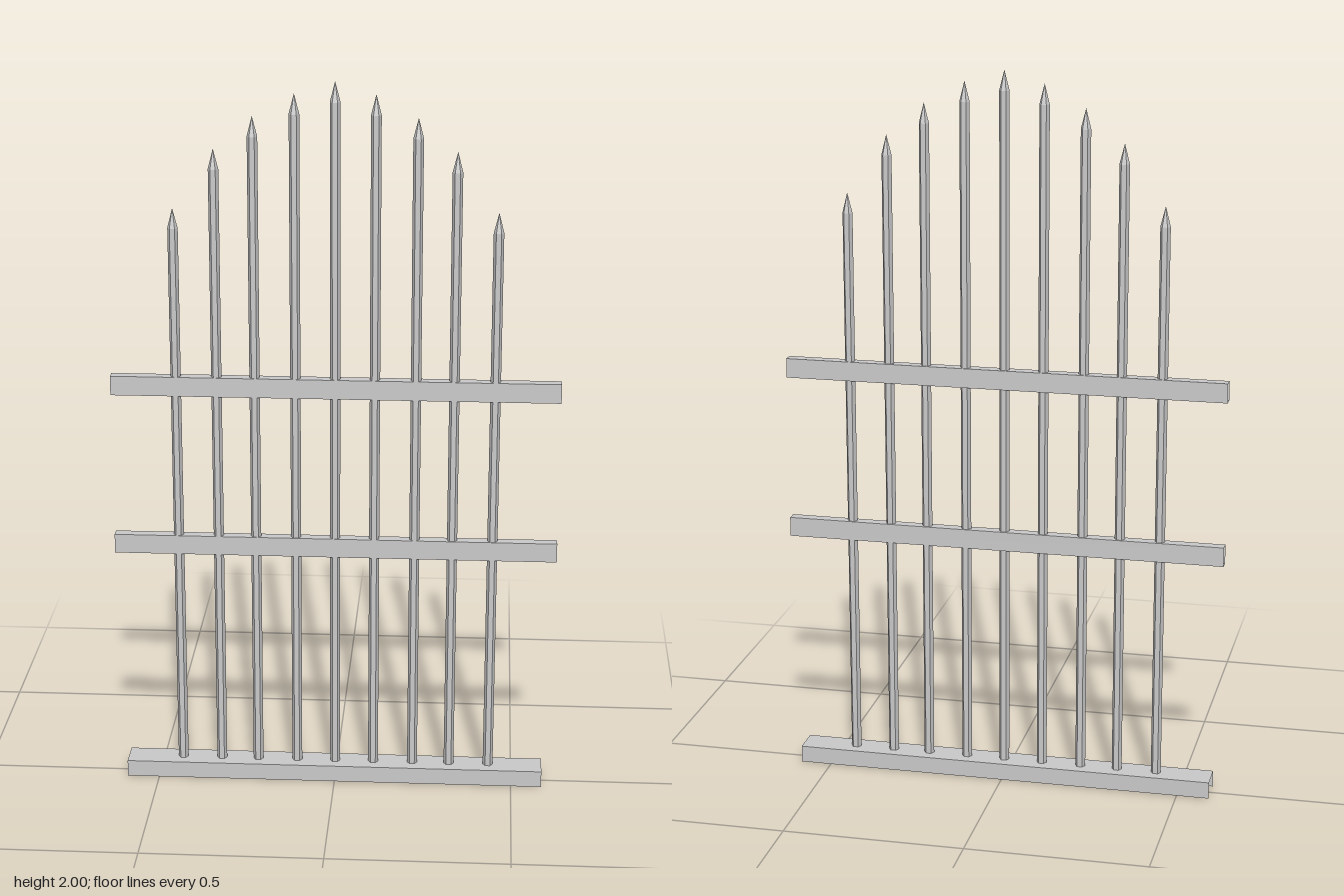
import * as THREE from 'three';

const metal = new THREE.MeshStandardMaterial({ color: 0xcccccc, flatShading: true });
const sheet = new THREE.MeshStandardMaterial({ color: 0xcccccc, flatShading: true, side: THREE.DoubleSide });

// Thin sheet folded along a (z, y) outline and running along x, open at both ends
function foldedSheet(name, outline, x0, x1) {
  const positions = [];
  for (let i = 0; i < outline.length - 1; i++) {
    const [za, ya] = outline[i];
    const [zb, yb] = outline[i + 1];
    positions.push(x0, ya, za, x1, ya, za, x1, yb, zb);
    positions.push(x0, ya, za, x1, yb, zb, x0, yb, zb);
  }
  const geometry = new THREE.BufferGeometry();
  geometry.setAttribute('position', new THREE.Float32BufferAttribute(positions, 3));
  geometry.computeVertexNormals();
  const mesh = new THREE.Mesh(geometry, sheet);
  mesh.name = name;
  return mesh;
}

// Six-sided bar with a pointed tip, corners facing left and right
function picket(name, x, top) {
  const radius = 0.014, bottom = 0.02, tip = 0.055;
  const profile = [[0, bottom], [radius, bottom], [radius, top - tip], [0, top]]
    .map(([r, y]) => new THREE.Vector2(r, y));
  const geometry = new THREE.LatheGeometry(profile, 6).rotateY(Math.PI / 2);
  const mesh = new THREE.Mesh(geometry, metal);
  mesh.name = name;
  mesh.position.x = x;
  return mesh;
}

export function createModel() {
  const model = new THREE.Group();
  model.name = 'fencePanel';

  // Base channel, open underneath
  model.add(foldedSheet('baseChannel',
    [[0.042, 0], [0.042, 0.047], [-0.042, 0.047], [-0.042, 0]], -0.59, 0.586));

  // Hollow cross rails
  const railFront = 0.014, railBack = -0.016;
  [['lowerRail', 0.673], ['upperRail', 1.133]].forEach(([name, y]) => {
    const top = y + 0.054;
    model.add(foldedSheet(name,
      [[railFront, y], [railFront, top], [railBack, top], [railBack, y], [railFront, y]],
      -0.612, 0.612));
  });

  // Pickets, mirrored about the tallest in the middle
  const pickets = new THREE.Group();
  pickets.name = 'pickets';
  pickets.add(picket('centrePicket', 0, 2));
  [[0.108, 1.967], [0.219, 1.906], [0.323, 1.817], [0.434, 1.655]].forEach(([x, top], i) => {
    pickets.add(picket(`leftPicket${i + 1}`, x, top));
    pickets.add(picket(`rightPicket${i + 1}`, -x, top));
  });
  model.add(pickets);

  return model;
}
